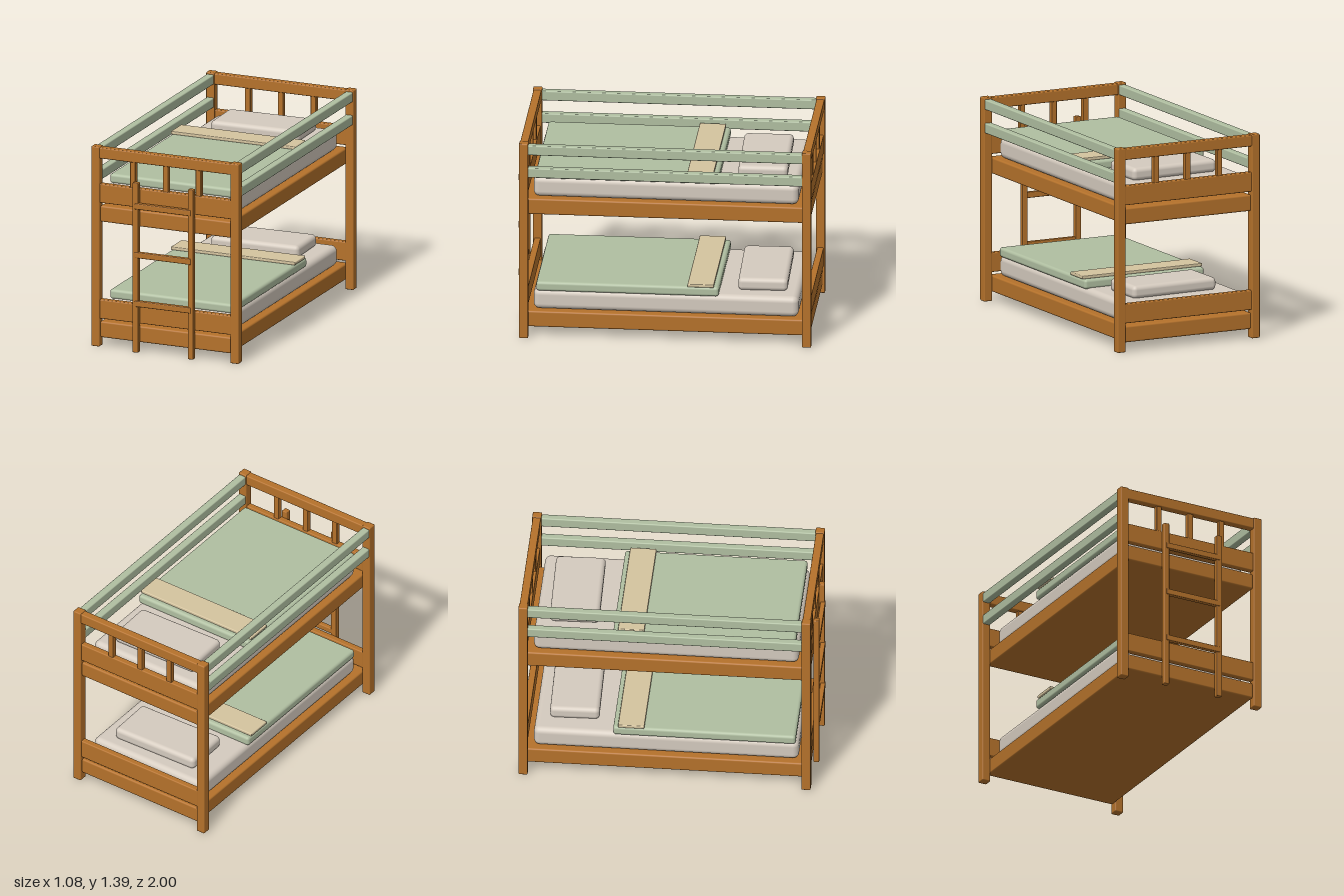
import * as THREE from 'three';
import { RoundedBoxGeometry } from 'three/addons/geometries/RoundedBoxGeometry.js';

function material(name, color) {
  const m = new THREE.MeshStandardMaterial({ color });
  m.name = name;
  return m;
}

export function createModel() {
  const wood = material('wood', 0xb5722b);
  const sage = material('sage green', 0xb0bfa1);
  const linen = material('linen', 0xd5cbbf);
  const tan = material('tan', 0xd5c49f);

  const model = new THREE.Group();
  model.name = 'bunkBed';

  // Soft-edged box given by its extents on each axis
  function box(parent, name, mat, [x0, x1], [y0, y1], [z0, z1], radius = 0.008) {
    const geo = new RoundedBoxGeometry(x1 - x0, y1 - y0, z1 - z0, 3, radius);
    const mesh = new THREE.Mesh(geo, mat);
    mesh.name = name;
    mesh.position.set((x0 + x1) / 2, (y0 + y1) / 2, (z0 + z1) / 2);
    parent.add(mesh);
    return mesh;
  }

  // Both ends: posts, boards, top rail and spindles
  for (const [label, zc] of [['foot', 0.935], ['head', -0.968]]) {
    const end = new THREE.Group();
    end.name = label + 'End';
    model.add(end);
    for (const s of [-1, 1]) {
      const x = s * 0.509;
      box(end, 'post', wood, [x - 0.031, x + 0.031], [0, 1.395], [zc - 0.031, zc + 0.031]);
    }
    const boardZ = [zc - 0.022, zc + 0.022];
    box(end, 'lowerEndBoard', wood, [-0.485, 0.485], [0.195, 0.328], boardZ);
    box(end, 'upperEndBoard', wood, [-0.485, 0.485], [1.003, 1.136], boardZ);
    box(end, 'topRail', wood, [-0.485, 0.485], [1.314, 1.39], [zc - 0.027, zc + 0.027]);
    for (const x of [-0.24, 0, 0.24]) {
      box(end, 'spindle', wood, [x - 0.02, x + 0.02], [1.125, 1.325], [zc - 0.018, zc + 0.018], 0.005);
    }
  }

  // Two bunks, each with a base and bedding
  for (const [label, y] of [['lowerBunk', 0.063], ['upperBunk', 0.87]]) {
    const bunk = new THREE.Group();
    bunk.name = label;
    bunk.position.y = y;
    model.add(bunk);
    box(bunk, 'base', wood, [-0.48, 0.48], [0, 0.112], [-0.985, 0.952], 0.012);
    box(bunk, 'mattress', linen, [-0.445, 0.445], [0.112, 0.255], [-0.905, 0.877], 0.04);
    box(bunk, 'blanket', sage, [-0.453, 0.453], [0.246, 0.313], [-0.37, 0.857], 0.02);
    box(bunk, 'blanketFold', tan, [-0.455, 0.455], [0.311, 0.333], [-0.337, -0.16], 0.006);
    const pillow = box(bunk, 'pillow', linen, [-0.31, 0.33], [0.25, 0.338], [-0.815, -0.482], 0.03);
    pillow.rotation.y = 0.024;
  }

  // Guard rails along both sides of the upper bunk
  for (const s of [-1, 1]) {
    for (const y of [1.153, 1.314]) {
      const x = s * 0.509;
      box(model, 'guardRail', sage, [x - 0.026, x + 0.026], [y, y + 0.068], [-0.95, 0.918], 0.008);
    }
  }

  // Ladder at the foot end
  const ladder = new THREE.Group();
  ladder.name = 'ladder';
  model.add(ladder);
  for (const x of [-0.204, 0.2]) {
    box(ladder, 'ladderRail', wood, [x - 0.02, x + 0.02], [0, 1.185], [0.955, 0.995], 0.006);
  }
  for (const y of [0.342, 0.682, 1.022]) {
    box(ladder, 'rung', wood, [-0.207, 0.204], [y - 0.02, y + 0.02], [0.965, 1], 0.006);
  }

  return model;
}
